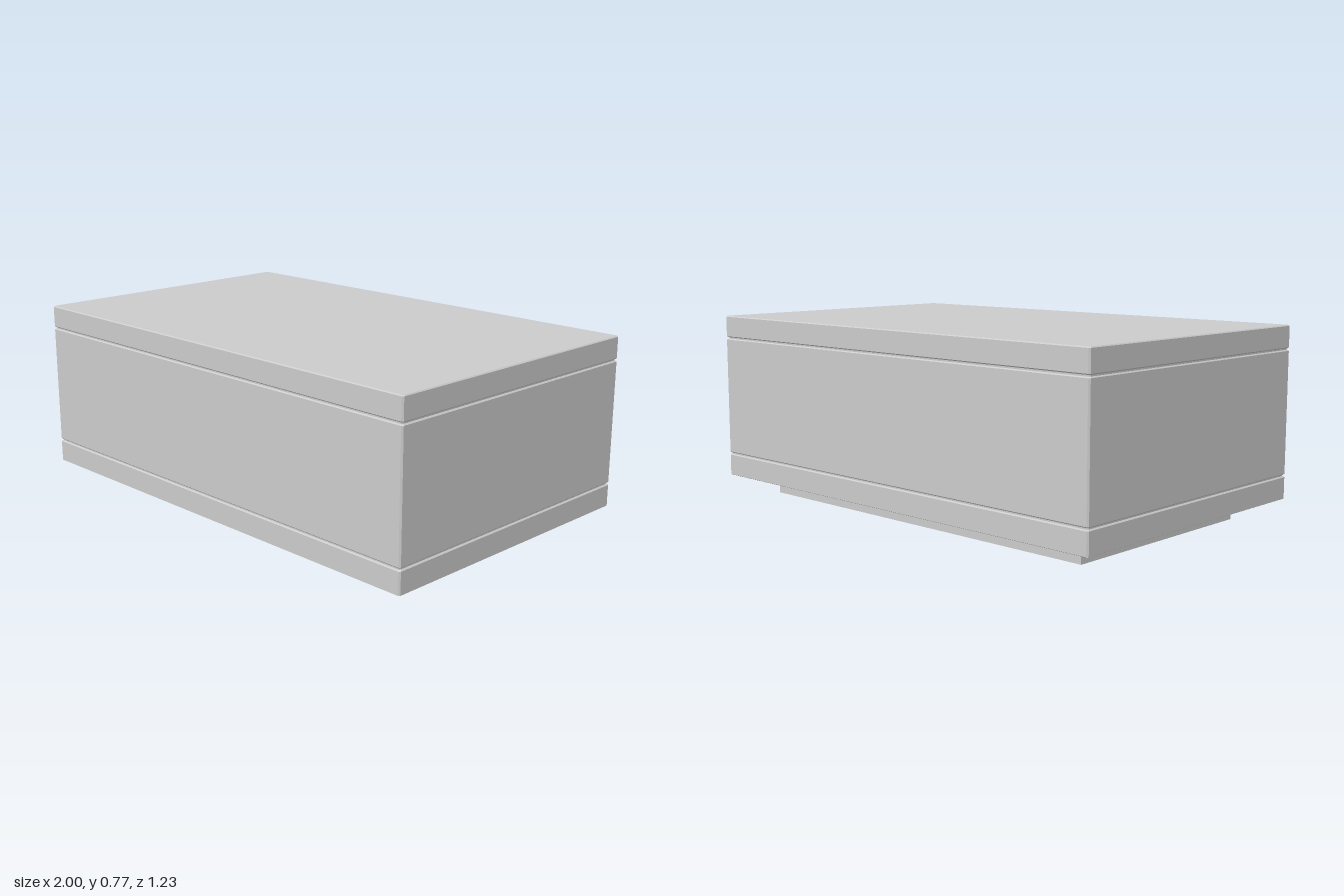
import * as THREE from 'three';

const HX = 1, HZ = 0.613;   // half width and half depth of the case
const BEVEL = 0.006;        // small chamfer on all edges
const GROOVE = 0.007;       // depth of the seams between the bands

const material = new THREE.MeshStandardMaterial({
  color: 0xcccccc, flatShading: true, side: THREE.DoubleSide,
});

// Chamfered rectangle, inset from the case outline, counter-clockwise from above
function outline(inset, y, c) {
  const x = HX - inset, z = HZ - inset;
  if (c === 0) return [[x, y, z], [x, y, -z], [-x, y, -z], [-x, y, z]];
  return [
    [x - c, y, z], [x, y, z - c], [x, y, -z + c], [x - c, y, -z],
    [-x + c, y, -z], [-x, y, -z + c], [-x, y, z - c], [-x + c, y, z],
  ];
}

// Thin shell through a bottom-to-top profile of [inset, y], optionally closed on top
function shell(name, profile, { chamfer = BEVEL, capped = false } = {}) {
  const rings = profile.map(([inset, y]) => outline(inset, y, chamfer));
  const n = rings[0].length, pos = [];
  for (let r = 0; r < rings.length - 1; r++) {
    for (let i = 0; i < n; i++) {
      const j = (i + 1) % n;
      const a = rings[r][i], b = rings[r][j], c = rings[r + 1][j], d = rings[r + 1][i];
      pos.push(...a, ...b, ...c, ...a, ...c, ...d);
    }
  }
  if (capped) {
    const top = rings[rings.length - 1];
    for (let i = 1; i < n - 1; i++) pos.push(...top[0], ...top[i], ...top[i + 1]);
  }
  const geometry = new THREE.BufferGeometry();
  geometry.setAttribute('position', new THREE.Float32BufferAttribute(pos, 3));
  geometry.computeVertexNormals();
  const mesh = new THREE.Mesh(geometry, material);
  mesh.name = name;
  return mesh;
}

export function createModel() {
  const group = new THREE.Group();
  group.name = 'box';

  // Open collar under the case
  group.add(shell('collar', [[0.15, 0], [0.15, 0.08]], { chamfer: 0 }));

  // Flat underside lip, from the collar out to the bottom band
  group.add(shell('undersideLip', [[0.15, 0.08], [BEVEL, 0.08]], { chamfer: 0.002 }));

  // Bottom band
  group.add(shell('bottomBand', [
    [BEVEL, 0.08], [0, 0.083], [0, 0.169], [0.004, 0.173], [GROOVE, 0.173],
  ]));

  // Seams between the bands
  group.add(shell('lowerSeam', [[GROOVE, 0.173], [GROOVE, 0.179]]));
  group.add(shell('upperSeam', [[GROOVE, 0.673], [GROOVE, 0.679]]));

  // Tall middle walls
  group.add(shell('middleWalls', [
    [GROOVE, 0.179], [0.004, 0.179], [0, 0.183],
    [0, 0.669], [0.004, 0.673], [GROOVE, 0.673],
  ]));

  // Closed lid
  group.add(shell('lid', [
    [GROOVE, 0.679], [0.004, 0.679], [0, 0.683], [0, 0.766], [0.004, 0.77],
  ], { capped: true }));

  return group;
}
